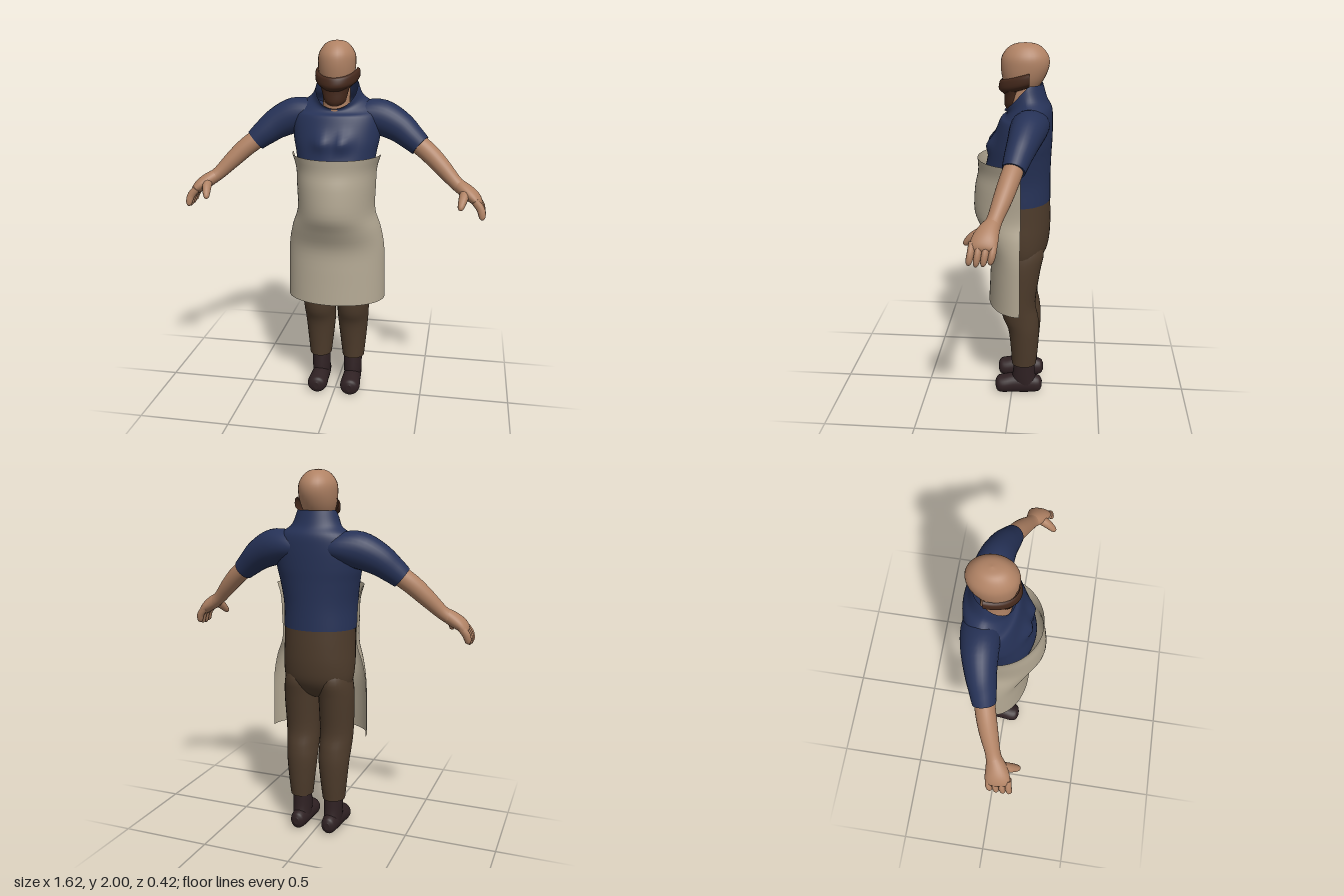
import * as THREE from 'three';

const mat = (name, color, side = THREE.FrontSide) => {
  const m = new THREE.MeshStandardMaterial({ color, side });
  m.name = name;
  return m;
};
const M = {
  skin: mat('skin', 0xb08264),
  beard: mat('beard brown', 0x45291c, THREE.DoubleSide),
  shirt: mat('shirt navy', 0x263257, THREE.DoubleSide),
  apron: mat('apron canvas', 0xb3a893, THREE.DoubleSide),
  pants: mat('trouser brown', 0x4d3b2b),
  boots: mat('boot dark', 0x2f2123),
};
const Y = new THREE.Vector3(0, 1, 0), Z = new THREE.Vector3(0, 0, 1), DOWN = new THREE.Vector3(0, -1, 0);

// Smooth tube through rows of [x, y, z, radius across, radius along ref].
// level keeps every ring perpendicular to that axis; warp moves finished points.
function loft(rows, { ref = Z, level = null, sides = 28, step = 4, caps = true, warp = null } = {}) {
  const curve = new THREE.CatmullRomCurve3(rows.map(r => new THREE.Vector3(r[0], r[1], r[2])), false, 'catmullrom');
  const radii = new THREE.CatmullRomCurve3(rows.map(r => new THREE.Vector3(r[3], r[4], 0)), false, 'catmullrom');
  const n = (rows.length - 1) * step, pos = [], idx = [];
  let rings = 0;
  const addRing = (i, k) => {
    const c = curve.getPoint(i / n), r = radii.getPoint(i / n);
    const t = level || curve.getTangent(i / n);
    const v = ref.clone().addScaledVector(t, -ref.dot(t)).normalize();
    const u = new THREE.Vector3().crossVectors(t, v);
    for (let j = 0; j < sides; j++) {
      const a = j / sides * Math.PI * 2;
      const p = c.clone().addScaledVector(u, Math.cos(a) * Math.max(r.x, 0) * k)
        .addScaledVector(v, Math.sin(a) * Math.max(r.y, 0) * k);
      if (warp) warp(p);
      pos.push(p.x, p.y, p.z);
    }
    rings++;
  };
  if (caps) { addRing(0, 0); addRing(0, 1); }
  for (let i = 0; i <= n; i++) addRing(i, 1);
  if (caps) { addRing(n, 1); addRing(n, 0); }
  for (let i = 0; i < rings - 1; i++) for (let j = 0; j < sides; j++) {
    const a = i * sides + j, b = i * sides + (j + 1) % sides;
    idx.push(a, a + sides, b, b, a + sides, b + sides);
  }
  return finish(pos, idx);
}

// Half-wrapped open sheet from rows of [y, half width, front z], hung from a back edge.
function sheet(rows, back, drop = 0, cols = 32, step = 4) {
  const path = new THREE.CatmullRomCurve3(rows.map(r => new THREE.Vector3(...r)), false, 'catmullrom');
  const n = (rows.length - 1) * step, pos = [], idx = [];
  for (let i = 0; i <= n; i++) {
    const p = path.getPoint(i / n);
    for (let j = 0; j <= cols; j++) {
      const a = j / cols * Math.PI, s = Math.sin(a);
      pos.push(-Math.cos(a) * p.y, p.x - drop * s, back + s * (p.z - back));
      if (i < n && j < cols) {
        const k = i * (cols + 1) + j, l = k + cols + 1;
        idx.push(k, l, k + 1, k + 1, l, l + 1);
      }
    }
  }
  return finish(pos, idx);
}

function finish(pos, idx) {
  const g = new THREE.BufferGeometry();
  g.setAttribute('position', new THREE.Float32BufferAttribute(pos, 3));
  g.setIndex(idx);
  g.computeVertexNormals();
  return g;
}

// Chest folds push forward; the collar stands high at the back and dips in front.
function shapeShirt(p) {
  if (p.z > 0) {
    const dx = (Math.abs(p.x) - 0.055) / 0.045, dy = (p.y - 1.485) / 0.045;
    p.z += 0.03 * Math.exp(-dx * dx - dy * dy);
  }
  if (p.y > 1.62) p.y -= 1.05 * Math.max(0, p.z + 0.085) * (p.y - 1.62) / 0.17;
}

export function createModel() {
  const root = new THREE.Group();
  root.name = 'aproned man';
  const add = (name, geo, material) => {
    const m = new THREE.Mesh(geo, material);
    m.name = name;
    root.add(m);
  };

  // Head and neck
  add('head', loft([
    [0, 1.76, -0.04, 0.07, 0.08], [0, 1.82, -0.052, 0.092, 0.108], [0, 1.88, -0.06, 0.1, 0.124],
    [0, 1.93, -0.062, 0.096, 0.12], [0, 1.97, -0.062, 0.072, 0.092], [0, 1.992, -0.062, 0.043, 0.055],
    [0, 2, -0.062, 0, 0],
  ], { level: Y }), M.skin);
  add('neck', loft([[0, 1.58, -0.05, 0.08, 0.08], [0, 1.68, -0.045, 0.072, 0.08], [0, 1.8, -0.05, 0.075, 0.08]],
    { level: Y }), M.skin);

  // Beard: band from ear to ear, and chin
  add('beardBand', sheet([[1.86, 0.104, 0.06], [1.848, 0.118, 0.07], [1.81, 0.118, 0.074],
    [1.788, 0.095, 0.05]], -0.09, 0.045), M.beard);
  add('chinBeard', loft([
    [0, 1.665, 0.008, 0.03, 0.028], [0, 1.69, 0.004, 0.056, 0.042], [0, 1.75, 0, 0.073, 0.047],
    [0, 1.8, 0, 0.09, 0.06],
  ], { level: Y }), M.beard);

  // Shirt body
  add('shirtBody', loft([
    [0, 1.175, -0.03, 0.2, 0.172], [0, 1.3, -0.022, 0.203, 0.178], [0, 1.42, -0.036, 0.22, 0.167],
    [0, 1.5, -0.05, 0.235, 0.157], [0, 1.6, -0.068, 0.235, 0.14], [0, 1.67, -0.082, 0.2, 0.12],
    [0, 1.72, -0.072, 0.138, 0.105], [0, 1.795, -0.054, 0.112, 0.1],
  ], { level: Y, sides: 48, step: 6, caps: false, warp: shapeShirt }), M.shirt);

  // Trousers seat
  add('trouserSeat', loft([
    [0, 1.19, -0.034, 0.196, 0.166], [0, 1.08, -0.036, 0.198, 0.168], [0, 0.98, -0.042, 0.2, 0.16],
    [0, 0.89, -0.05, 0.192, 0.136], [0, 0.82, -0.05, 0.165, 0.09], [0, 0.79, -0.05, 0.1, 0.05],
  ], { level: DOWN, sides: 40 }), M.pants);

  // Apron
  add('apron', sheet([
    [1.405, 0.243, 0.19], [1.33, 0.222, 0.188], [1.24, 0.217, 0.206], [1.1, 0.215, 0.211], [1.0, 0.247, 0.167],
    [0.89, 0.268, 0.124], [0.75, 0.273, 0.126], [0.58, 0.275, 0.135],
  ], -0.055), M.apron);

  for (const s of [1, -1]) {
    const side = s > 0 ? 'left' : 'right';
    const part = (name, rows, material, opts) =>
      add(side + name, loft(rows.map(([x, ...rest]) => [x * s, ...rest]), opts), material);

    // Sleeve and forearm
    part('Sleeve', [
      [0.06, 1.6, -0.1, 0.06, 0.085], [0.14, 1.607, -0.1, 0.08, 0.097], [0.235, 1.597, -0.09, 0.096, 0.092],
      [0.33, 1.555, -0.072, 0.085, 0.078], [0.4, 1.503, -0.052, 0.071, 0.067], [0.452, 1.46, -0.038, 0.06, 0.058],
    ], M.shirt);
    part('Forearm', [
      [0.42, 1.485, -0.045, 0.052, 0.05], [0.5, 1.425, -0.022, 0.051, 0.05], [0.57, 1.36, 0.002, 0.046, 0.046],
      [0.64, 1.29, 0.03, 0.037, 0.038], [0.68, 1.258, 0.045, 0.035, 0.042],
    ], M.skin);

    // Hand, fingers and thumb
    part('Palm', [
      [0.655, 1.277, 0.035, 0.033, 0.035], [0.7, 1.248, 0.055, 0.038, 0.052], [0.742, 1.22, 0.068, 0.034, 0.062],
      [0.772, 1.19, 0.074, 0.022, 0.058], [0.782, 1.178, 0.075, 0, 0.02],
    ], M.skin);
    for (let i = 0; i < 4; i++) {
      const z = 0.025 + i * 0.033, len = [0.85, 1, 1.05, 0.95][i];
      part('Finger' + (i + 1), [
        [0.75, 1.21, z, 0.02, 0.017], [0.779, 1.175, z + 0.004, 0.021, 0.017],
        [0.779 + 0.011 * len, 1.175 - 0.033 * len, z + 0.01, 0.019, 0.016],
        [0.779 + 0.012 * len, 1.175 - 0.055 * len, z + 0.014, 0.013, 0.011],
        [0.779 + 0.01 * len, 1.175 - 0.064 * len, z + 0.015, 0, 0],
      ], M.skin, { sides: 12 });
    }
    part('Thumb', [
      [0.7, 1.248, 0.07, 0.027, 0.027], [0.692, 1.222, 0.116, 0.025, 0.025],
      [0.684, 1.195, 0.148, 0.02, 0.02], [0.679, 1.176, 0.166, 0.013, 0.013], [0.677, 1.168, 0.172, 0, 0],
    ], M.skin, { sides: 12, ref: Y });

    // Trouser leg
    part('TrouserLeg', [
      [0.09, 1.0, -0.045, 0.06, 0.08], [0.097, 0.9, -0.052, 0.088, 0.122], [0.101, 0.79, -0.046, 0.098, 0.112],
      [0.1, 0.6, -0.036, 0.094, 0.097], [0.097, 0.5, -0.049, 0.09, 0.1], [0.095, 0.42, -0.068, 0.086, 0.088],
      [0.096, 0.3, -0.072, 0.074, 0.078], [0.097, 0.2, -0.07, 0.063, 0.07],
    ], M.pants, { level: DOWN });

    // Boot: shaft and foot
    part('BootShaft', [
      [0.093, 0.05, -0.08, 0.048, 0.08], [0.094, 0.12, -0.07, 0.052, 0.066], [0.094, 0.22, -0.073, 0.053, 0.056],
    ], M.boots, { level: Y });
    part('BootFoot', [
      [0.093, 0.06, -0.175, 0.015, 0.02], [0.093, 0.06, -0.155, 0.04, 0.048], [0.093, 0.062, -0.08, 0.05, 0.06],
      [0.094, 0.06, -0.01, 0.053, 0.058], [0.096, 0.053, 0.05, 0.057, 0.052], [0.096, 0.052, 0.082, 0.046, 0.044],
      [0.096, 0.052, 0.095, 0.015, 0.02],
    ], M.boots, { ref: Y, level: Z });
  }
  return root;
}
